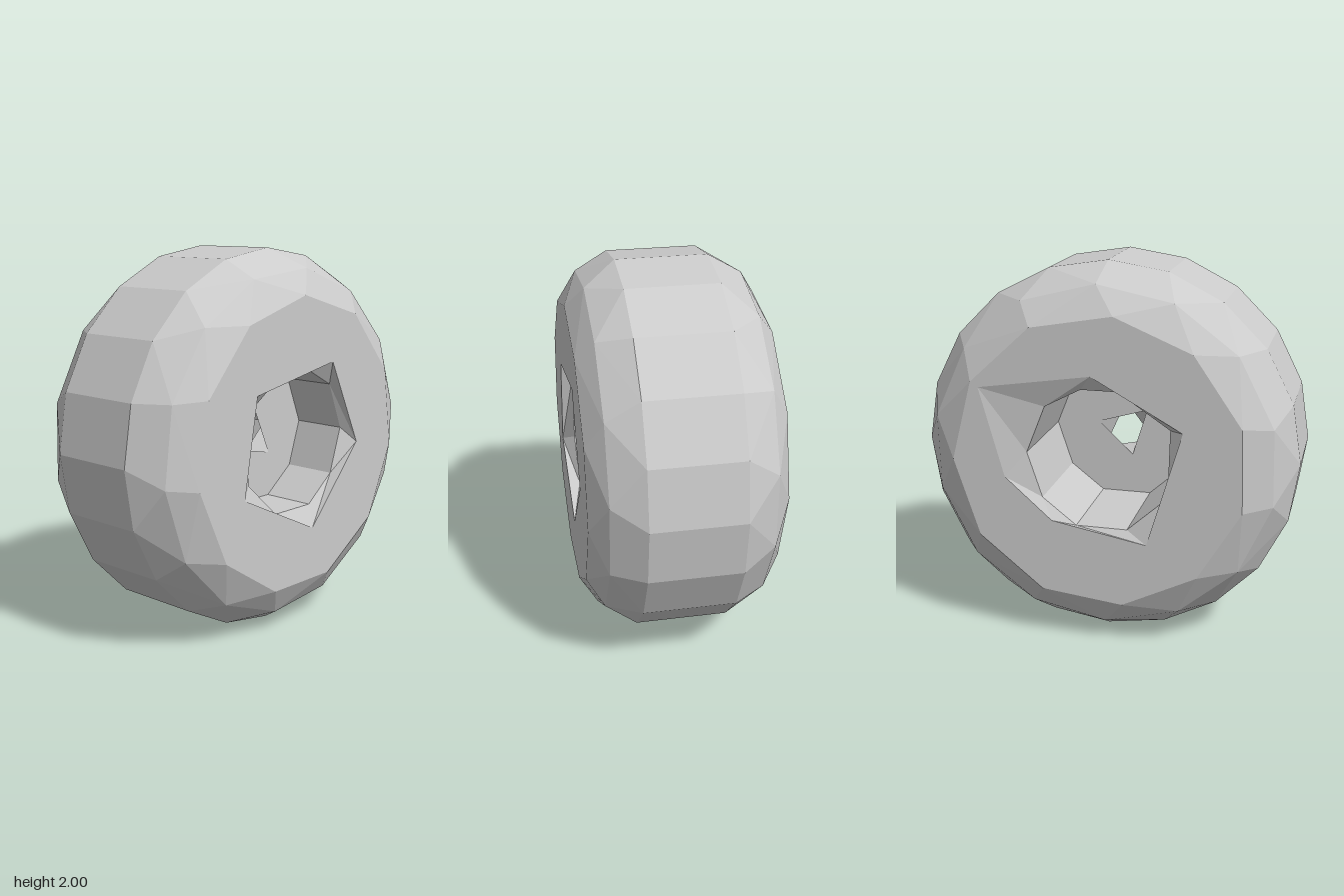
import * as THREE from 'three';

const CY = 1; // axle height

// Ring of n points, radius r, at depth z, first point turned by `turn`
function ring(n, r, z, turn = 0) {
  return Array.from({ length: n }, (_, i) => {
    const a = turn + (i / n) * Math.PI * 2;
    return new THREE.Vector3(r * Math.cos(a), CY + r * Math.sin(a), z);
  });
}

// Ring from hand-placed [x, y] corners at depth z
const outline = (points, z) => points.map(([x, y]) => new THREE.Vector3(x, y, z));

const angle = (p) => Math.atan2(p.y - CY, p.x);
const TAU = Math.PI * 2;

// Points with increasing angles, starting nearest to angle `start`, closed at the end
function unwrap(points, start) {
  const gap = (p) => Math.abs(Math.atan2(Math.sin(angle(p) - start), Math.cos(angle(p) - start)));
  const first = points.reduce((best, p) => (gap(p) < gap(best) ? p : best));
  const a0 = start + Math.atan2(Math.sin(angle(first) - start), Math.cos(angle(first) - start));
  const turned = points.map((p) => ({
    p,
    a: p === first ? a0 : a0 + ((((angle(p) - a0) % TAU) + TAU) % TAU),
  }));
  turned.sort((u, v) => u.a - v.a);
  turned.push({ p: first, a: a0 + TAU });
  return turned;
}

// Stitch two rings of different counts with triangles
function stitch(ringA, ringB, out) {
  const A = unwrap(ringA, angle(ringA[0]));
  const B = unwrap(ringB, angle(ringA[0]));
  let i = 0, j = 0;
  const put = (...ps) => ps.forEach((p) => out.push(p.x, p.y, p.z));
  while (i < A.length - 1 || j < B.length - 1) {
    const midA = i < A.length - 1 ? A[i].a + A[i + 1].a : Infinity;
    const midB = j < B.length - 1 ? B[j].a + B[j + 1].a : Infinity;
    if (midA < midB) {
      put(A[i].p, B[j].p, A[i + 1].p);
      i++;
    } else {
      put(A[i].p, B[j].p, B[j + 1].p);
      j++;
    }
  }
}

// Mesh skinned over a chain of rings
function skin(name, rings, material) {
  const out = [];
  for (let k = 0; k < rings.length - 1; k++) stitch(rings[k], rings[k + 1], out);
  const geometry = new THREE.BufferGeometry();
  geometry.setAttribute('position', new THREE.Float32BufferAttribute(out, 3));
  geometry.computeVertexNormals();
  const mesh = new THREE.Mesh(geometry, material);
  mesh.name = name;
  return mesh;
}

export function createModel() {
  const group = new THREE.Group();
  group.name = 'wheel';
  const material = new THREE.MeshStandardMaterial({ color: 0xcccccc, flatShading: true });

  // Cross-sections of the bore, its flared mouths and the axle hole
  const bore = [[0.38, 1.03], [0.28, 1.28], [0.09, 1.38], [-0.1, 1.38], [-0.37, 1.2],
    [-0.36, 0.84], [-0.15, 0.65], [0.12, 0.65], [0.3, 0.79]];
  const frontMouth = [[0.45, 0.95], [0.23, 1.41], [-0.36, 1.3], [-0.45, 0.79], [0.08, 0.54]];
  const backMouth = [[0.49, 0.9], [0.62, 1.37], [0.03, 1.46], [-0.44, 1.2], [-0.26, 0.59], [0.24, 0.68]];
  const frontHole = [[0, 1.16], [-0.16, 0.95], [0.12, 0.89]];
  const backHole = [[0.14, 1.05], [-0.13, 1.13], [-0.05, 0.87]];

  // Tyre: front bore wall, sidewall, tread, back sidewall, back bore wall
  group.add(skin('tyre', [
    outline(bore, 0.15),
    outline(bore, 0.44),
    outline(frontMouth, 0.5),
    ring(11, 0.77, 0.5, Math.PI / 2),
    ring(14, 0.905, 0.41, 0.1),
    ring(20, 1, 0.24),
    ring(20, 1, -0.24),
    ring(14, 0.905, -0.41, 0.2),
    ring(11, 0.77, -0.5, 0.54),
    outline(backMouth, -0.5),
    outline(bore, -0.46),
    outline(bore, 0.1),
  ], material));

  // Hub disc with a twisted triangular axle hole
  group.add(skin('hubDisc', [
    outline(bore, 0.1),
    outline(backHole, 0.1),
    outline(frontHole, 0.15),
    outline(bore, 0.15),
  ], material));

  return group;
}
